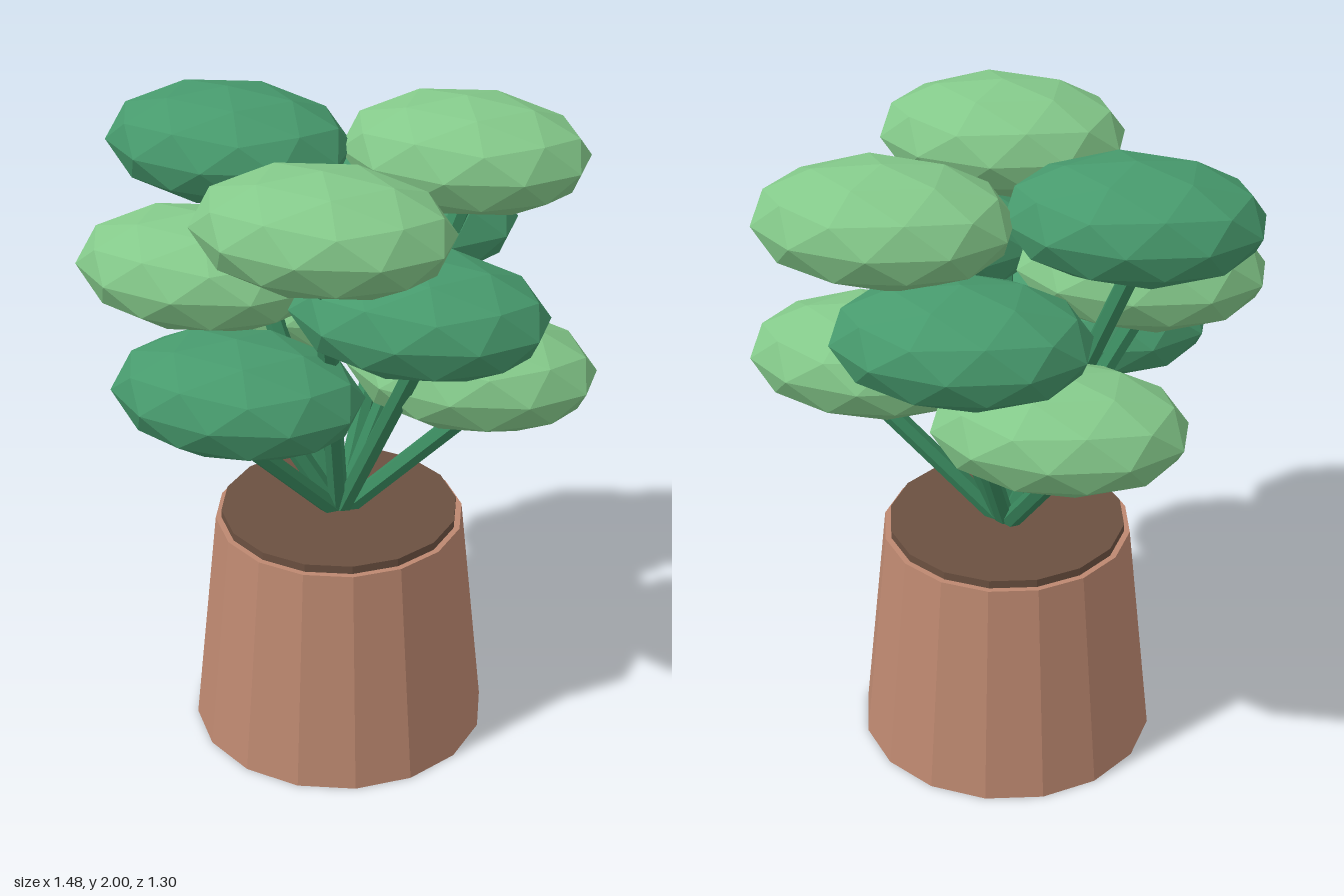
import * as THREE from 'three';

const AXIS_X = -0.0125; // the pot and stems stand slightly off the overall centre

const flat = (color) => new THREE.MeshStandardMaterial({ color, flatShading: true });
const materials = {
  pot: flat(0xbd8870),
  soil: flat(0x6b5040),
  stem: flat(0x3a8a5f),
  lightLeaf: flat(0x84c98a),
  darkLeaf: flat(0x479a6d),
};

function addMesh(parent, name, geometry, material) {
  const mesh = new THREE.Mesh(geometry, material);
  mesh.name = name;
  parent.add(mesh);
  return mesh;
}

// Flattened low-poly ball with a corner at its top and an upper corner facing +x
function leafGeometry() {
  const geometry = new THREE.IcosahedronGeometry(1, 1);
  geometry.rotateX(-Math.atan2((1 + Math.sqrt(5)) / 2, 1));
  geometry.rotateY(Math.PI / 2);
  geometry.scale(0.373, 0.1725, 0.256);
  geometry.computeVertexNormals();
  return geometry;
}

// Straight six-sided rod between two points
function addStem(parent, from, to) {
  const direction = to.clone().sub(from);
  const geometry = new THREE.CylinderGeometry(0.03, 0.03, direction.length(), 6);
  const stem = addMesh(parent, 'stem', geometry, materials.stem);
  stem.position.copy(from).add(to).multiplyScalar(0.5);
  stem.quaternion.setFromUnitVectors(new THREE.Vector3(0, 1, 0), direction.normalize());
}

export function createModel() {
  const model = new THREE.Group();
  model.name = 'pottedPlant';

  // Tapered pot, wider at the foot
  const pot = addMesh(model, 'pot', new THREE.CylinderGeometry(0.378, 0.453, 0.715, 16), materials.pot);
  pot.position.set(AXIS_X, 0.3575, 0);

  // Soil disc standing just above the rim
  const soil = addMesh(model, 'soil', new THREE.CylinderGeometry(0.36, 0.36, 0.06, 16), materials.soil);
  soil.position.set(AXIS_X, 0.71, 0);

  // Three tiers of three leaves, each tier turned 40 degrees from the one below
  const leaf = leafGeometry();
  const root = new THREE.Vector3(AXIS_X, 0.71, 0);
  for (let tier = 0; tier < 3; tier++) {
    for (let i = 0; i < 3; i++) {
      const angle = THREE.MathUtils.degToRad(tier * 40 + i * 120);
      const center = new THREE.Vector3(
        AXIS_X + 0.398 * Math.cos(angle), 1.27 + tier * 0.2785, 0.398 * Math.sin(angle));
      const branch = new THREE.Group();
      branch.name = 'branch';
      model.add(branch);

      const material = (tier + i) % 2 ? materials.darkLeaf : materials.lightLeaf;
      addMesh(branch, 'leaf', leaf, material).position.copy(center);
      addStem(branch, root, center.clone().setY(center.y - 0.15));
    }
  }
  return model;
}
